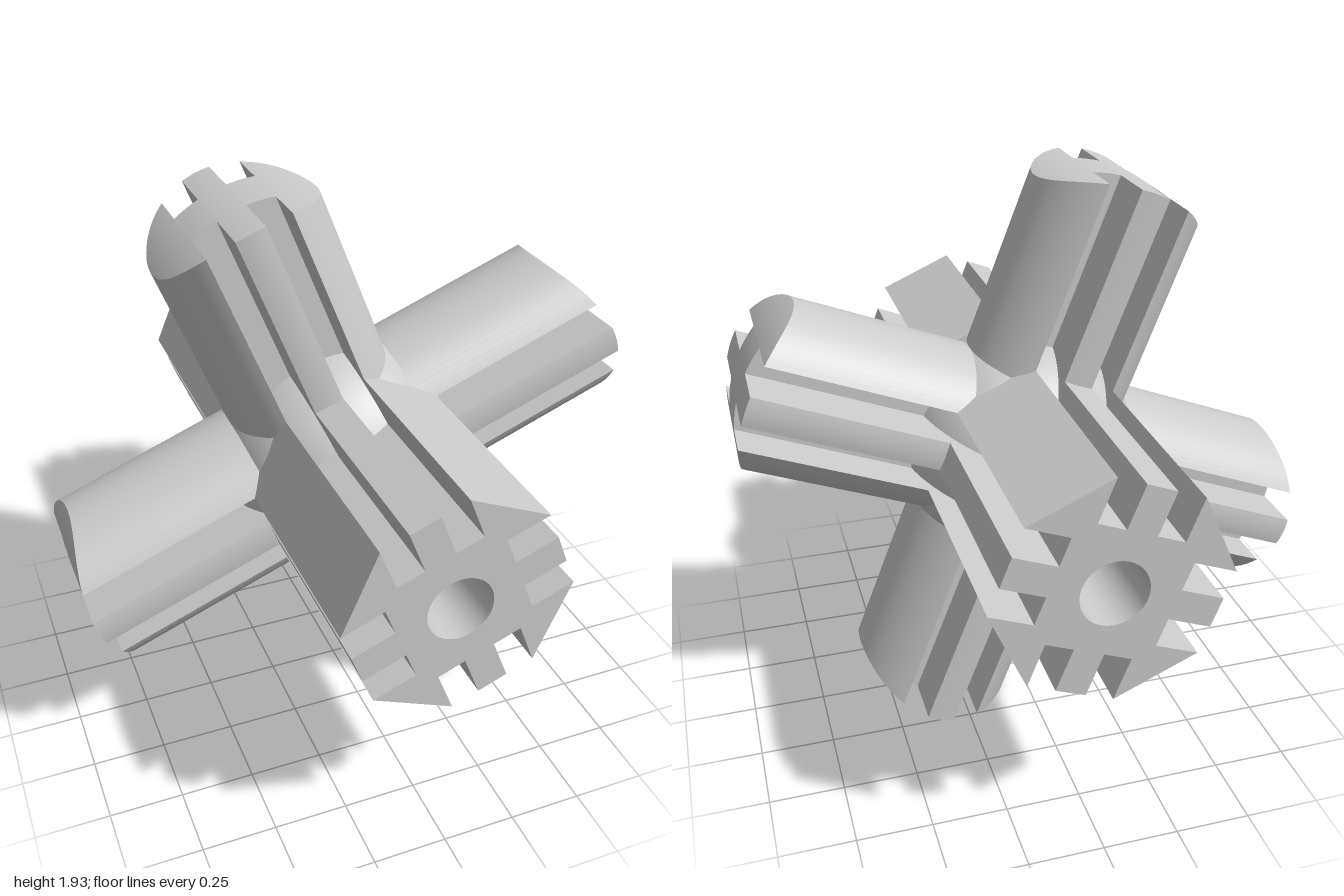
import * as THREE from 'three';
import { toCreasedNormals } from 'three/addons/utils/BufferGeometryUtils.js';

const TILT = THREE.MathUtils.degToRad(21.4);
const CENTRE_Y = 0.965;
const SLOT_IN = 0.05, SLOT_OUT = 0.143; // sideways extent of every slot

// Round arm along +y, two slots on each z face, end rounded about the z axis
function armGeometry() {
  const r = 0.29, base = 0.15, slotFloor = 0.1;
  const round = v => Math.sqrt(Math.max(0, r * r - v * v));
  const end = v => 0.53 + Math.sqrt(0.47 * 0.47 - v * v);

  // half profile [v, half thickness] from the centre outwards
  const half = [];
  for (let i = 0; i <= 4; i++) half.push([SLOT_IN * i / 4, round(SLOT_IN * i / 4)]);
  for (let i = 0; i <= 4; i++) half.push([SLOT_IN + (SLOT_OUT - SLOT_IN) * i / 4, slotFloor]);
  const a0 = Math.asin(SLOT_OUT / r);
  for (let i = 0; i <= 16; i++) {
    const a = a0 + (Math.PI / 2 - a0) * i / 16;
    half.push([r * Math.sin(a), i === 16 ? 0 : r * Math.cos(a)]);
  }
  const profile = [...half.slice(1).reverse().map(([v, h]) => [-v, h]), ...half];

  const pos = [];
  const quad = (a, b, c, d) => pos.push(...a, ...b, ...c, ...a, ...c, ...d);
  for (let i = 0; i < profile.length - 1; i++) {
    const [v0, h0] = profile[i], [v1, h1] = profile[i + 1];
    const e0 = end(v0), e1 = end(v1);
    quad([v0, base, h0], [v1, base, h1], [v1, e1, h1], [v0, e0, h0]);
    quad([v1, base, -h1], [v0, base, -h0], [v0, e0, -h0], [v1, e1, -h1]);
    if (v1 - v0 > 1e-6) quad([v0, e0, h0], [v1, e1, h1], [v1, e1, -h1], [v0, e0, -h0]);
  }
  const g = new THREE.BufferGeometry();
  g.setAttribute('position', new THREE.Float32BufferAttribute(pos, 3));
  return toCreasedNormals(g, 0.5);
}

// Octagonal bar along z, a pair of slots in every other face, bored through
function barGeometry() {
  const apothem = 0.345, floor = 0.2;
  const side = [[SLOT_OUT, apothem], [SLOT_OUT, floor], [SLOT_IN, floor], [SLOT_IN, apothem]];
  const face = [...side, ...side.slice().reverse().map(([x, y]) => [-x, y])];
  const pts = [];
  for (let k = 0; k < 4; k++) {
    for (const [x, y] of face) {
      pts.push(new THREE.Vector2(x, y).rotateAround(new THREE.Vector2(), k * Math.PI / 2));
    }
  }
  const shape = new THREE.Shape(pts);
  shape.holes.push(new THREE.Path().absarc(0, 0, 0.107, 0, Math.PI * 2, true));
  const g = new THREE.ExtrudeGeometry(shape, { depth: 2, bevelEnabled: false, curveSegments: 32 });
  g.translate(0, 0, -1);
  return toCreasedNormals(g, 0.5);
}

export function createModel() {
  const model = new THREE.Group();
  model.name = 'crossConnector';
  const mat = new THREE.MeshStandardMaterial({ color: 0xcccccc });
  const body = new THREE.Group();
  body.name = 'body';
  body.position.y = CENTRE_Y;
  body.rotation.z = TILT;
  model.add(body);

  const add = (geometry, name) => {
    const mesh = new THREE.Mesh(geometry, mat);
    mesh.name = name;
    body.add(mesh);
    return mesh;
  };

  add(barGeometry(), 'slottedBar');

  // Four arms around the bar
  const arm = armGeometry();
  ['upperArm', 'rightArm', 'lowerArm', 'leftArm'].forEach((name, k) => {
    add(arm, name).rotation.z = k * Math.PI / 2;
  });

  // Ball at the junction, open at both poles so the bore stays clear
  const R = 0.41, open = Math.asin(0.15 / R);
  const ball = new THREE.SphereGeometry(R, 64, 40, 0, Math.PI * 2, open, Math.PI - 2 * open);
  ball.rotateX(Math.PI / 2);
  add(ball, 'hubBall');

  return model;
}
